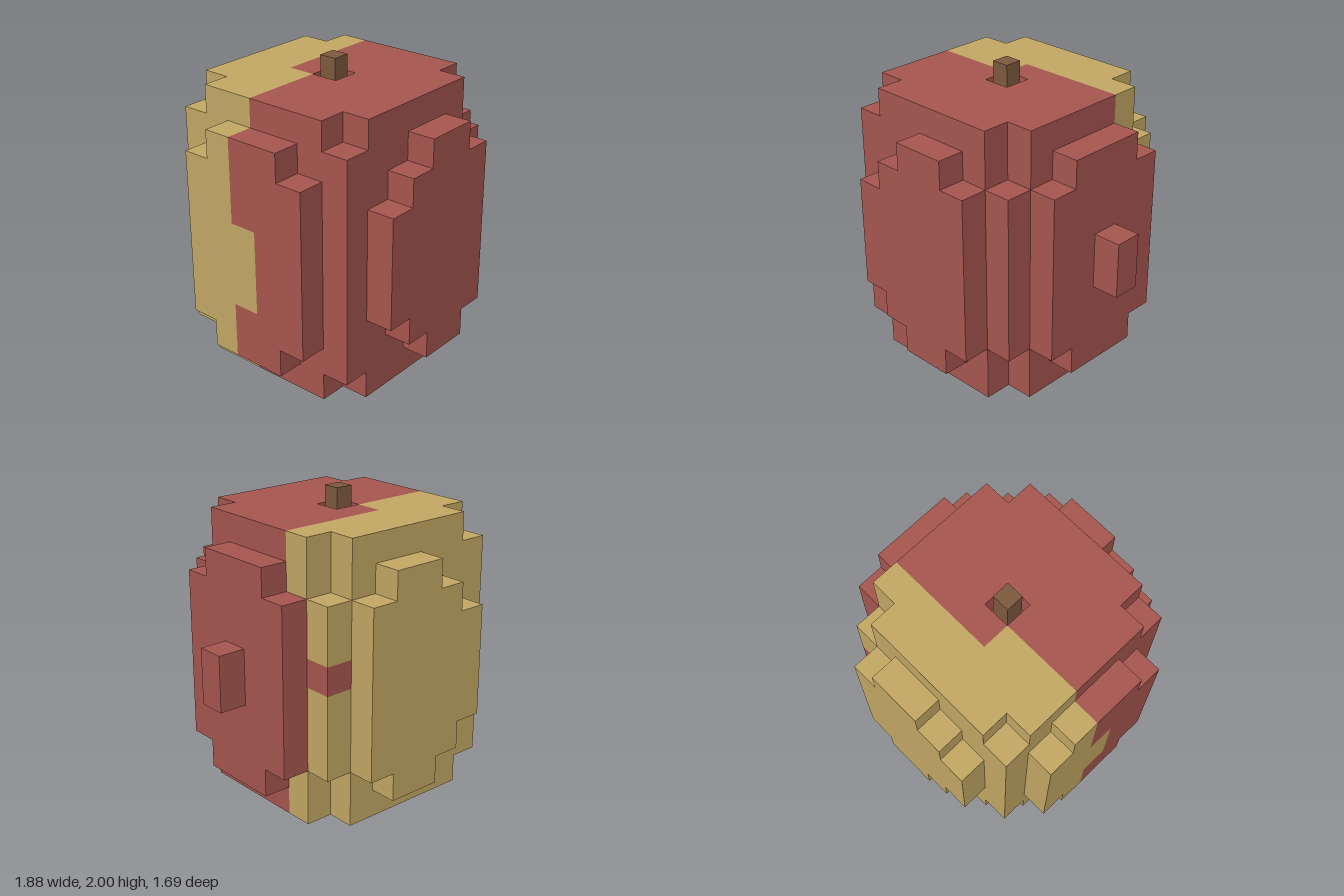
import * as THREE from 'three';

const U = 0.1875;                          // edge of one block
const ORIGIN = [-0.9375, 0, -0.84375];     // corner of block (0, 0, 0)

// Block heights [first, last] for each column of the stepped panels
const FACE_STEPS = { 2: [3, 6], 3: [2, 7], 4: [1, 8], 5: [1, 8], 6: [2, 7] };
const SIDE_STEPS = { 2: [2, 7], 3: [1, 8], 4: [1, 8], 5: [1, 8], 6: [2, 7] };

function buildCells() {
  const cells = new Map();
  const fill = (part, [i0, i1], [j0, j1], [k0, k1]) => {
    for (let i = i0; i <= i1; i++)
      for (let j = j0; j <= j1; j++)
        for (let k = k0; k <= k1; k++) cells.set(`${i},${j},${k}`, { part, at: [i, j, k] });
  };

  // Core: a cross-shaped prism
  fill('core', [1, 7], [0, 9], [2, 6]);
  fill('core', [2, 6], [0, 9], [1, 7]);
  cells.delete('4,9,4');                   // socket for the stem

  // Corner posts, shorter on the +x side
  for (const k of [1, 7]) {
    fill('cornerPosts', [1, 1], [1, 8], [k, k]);
    fill('cornerPosts', [7, 7], [2, 7], [k, k]);
  }

  // Stepped panels bulging out of the four sides
  for (const [c, rows] of Object.entries(FACE_STEPS)) {
    fill('backPanel', [+c, +c], rows, [0, 0]);
    fill('frontPanel', [+c, +c], rows, [8, 8]);
  }
  for (const [c, rows] of Object.entries(SIDE_STEPS)) {
    fill('rightPanel', [0, 0], rows, [+c, +c]);
    fill('leftPanel', [8, 8], rows, [+c, +c]);
  }
  return cells;
}

// The back of the fruit is yellow, with a ragged border to the red
function isYellow([i, j, k], facesDown) {
  if (i === 8) return false;
  if (i === 7 && k === 1 && j === 5) return false;
  if (facesDown && i >= 6 && k === 2) return false;
  if (k <= 2) return true;
  if (k === 3) return i <= 3;
  return i === 0 && k === 4 && j >= 3 && j <= 5;
}

// Two triangles for one side of a block
function pushFace(out, at, axis, sign) {
  const u = (axis + 1) % 3, v = (axis + 2) % 3;
  const ring = [[0, 0], [1, 0], [1, 1], [0, 1]];
  if (sign < 0) ring.reverse();
  const corners = ring.map(([a, b]) => {
    const p = [...at];
    p[axis] += sign > 0 ? 1 : 0;
    p[u] += a;
    p[v] += b;
    return p.map((c, n) => ORIGIN[n] + c * U);
  });
  for (const n of [0, 1, 2, 0, 2, 3]) out.push(...corners[n]);
}

export function createModel() {
  const model = new THREE.Group();
  model.name = 'blockFruit';

  const material = (name, color) => {
    const m = new THREE.MeshStandardMaterial({ color });
    m.name = name;
    return m;
  };
  const red = material('red', 0xa95750);
  const yellow = material('yellow', 0xc5aa66);
  const brown = material('brown', 0x805b40);

  // Collect the exposed block faces by part and colour
  const cells = buildCells();
  const skins = {};
  for (const { part, at } of cells.values()) {
    for (let axis = 0; axis < 3; axis++) {
      for (const sign of [-1, 1]) {
        const next = [...at];
        next[axis] += sign;
        if (cells.has(next.join())) continue;
        skins[part] ??= { red: [], yellow: [] };
        const colour = isYellow(at, axis === 1 && sign < 0) ? 'yellow' : 'red';
        pushFace(skins[part][colour], at, axis, sign);
      }
    }
  }
  for (const [part, skin] of Object.entries(skins)) {
    const group = new THREE.Group();
    group.name = part;
    for (const mat of [red, yellow]) {
      const points = skin[mat.name];
      if (!points.length) continue;
      const geometry = new THREE.BufferGeometry();
      geometry.setAttribute('position', new THREE.Float32BufferAttribute(points, 3));
      geometry.computeVertexNormals();
      const mesh = new THREE.Mesh(geometry, mat);
      mesh.name = `${part} ${mat.name}`;
      group.add(mesh);
    }
    model.add(group);
  }

  const box = (name, mat, size, pos) => {
    const mesh = new THREE.Mesh(new THREE.BoxGeometry(...size), mat);
    mesh.name = name;
    mesh.position.set(...pos);
    model.add(mesh);
  };
  // Knob on the +x panel, and the stem standing in its socket
  box('knob', red, [U, 2 * U, U], [0.84375, 0.9375, 0]);
  box('stem', brown, [0.12, 0.3125, 0.12], [-0.09375, 1.84375, 0]);

  return model;
}
